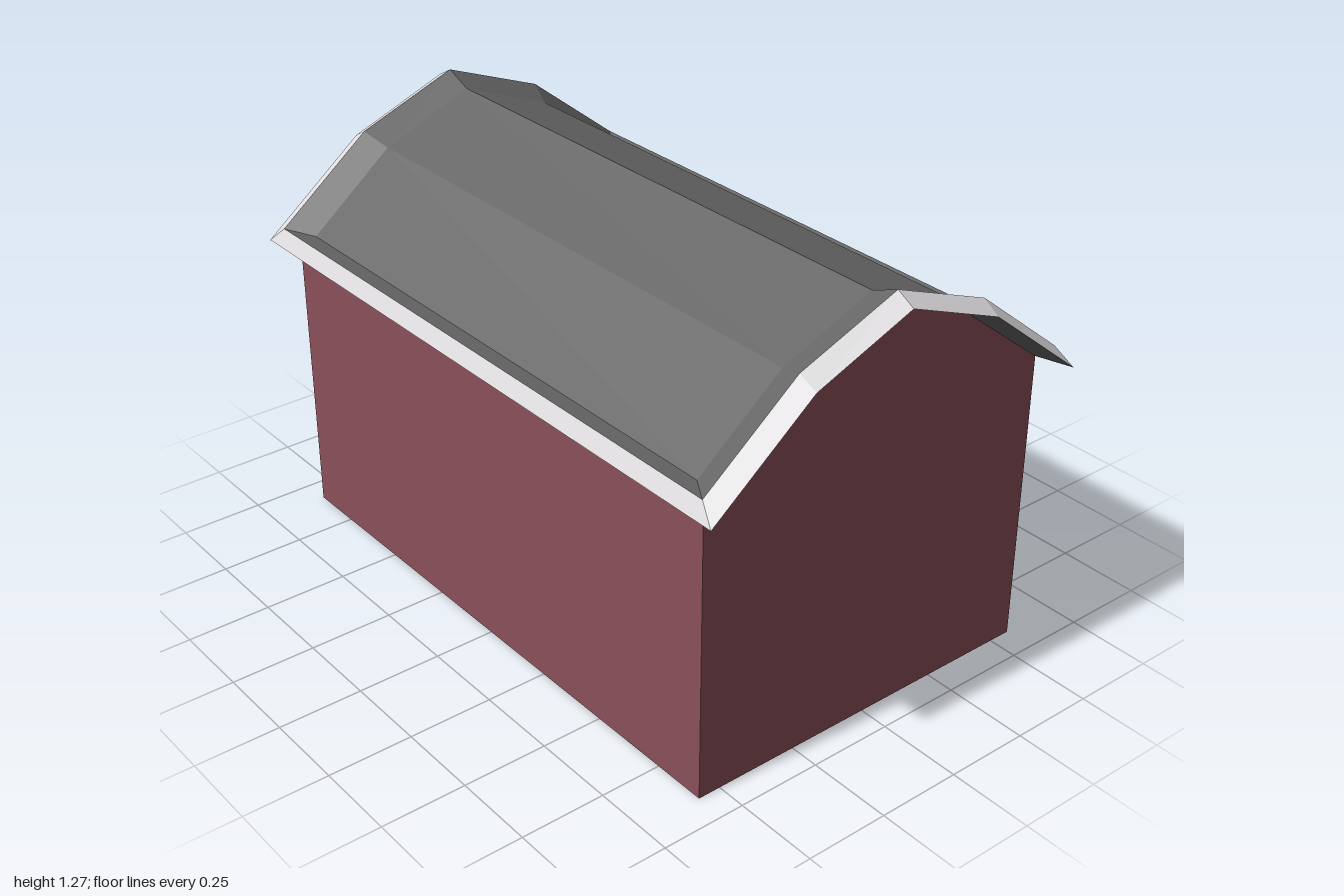
import * as THREE from 'three';

// Half profiles of the gambrel roof as [eave, knee, peak], each with its z end
const OUTER = { z: 1.0, pts: [[0.62, 0.87], [0.305, 1.12], [0, 1.24]] };
const CREST = { z: 0.945, pts: [[0.6, 0.92], [0.31, 1.15], [0, 1.27]] };
const INNER = { z: 0.86, pts: [[0.545, 0.91], [0.285, 1.12], [0, 1.235]] };
const WALL = { z: 0.912, pts: [[0.568, 0.885], [0.28, 1.108], [0, 1.23]] };

// Mirror a half profile into a full one, left to right
const fullProfile = ({ pts }) => [
  ...pts.map(([x, y]) => [-x, y]),
  ...pts.slice(0, 2).reverse(),
];

// Closed loop: across the front, then back across the rear
function loop(section) {
  const p = fullProfile(section);
  return [
    ...p.map(([x, y]) => [x, y, section.z]),
    ...p.slice().reverse().map(([x, y]) => [x, y, -section.z]),
  ];
}

function quadGeometry(quads) {
  const pos = [];
  for (const [a, b, c, d] of quads) pos.push(...a, ...b, ...c, ...a, ...c, ...d);
  const geo = new THREE.BufferGeometry();
  geo.setAttribute('position', new THREE.Float32BufferAttribute(pos, 3));
  geo.computeVertexNormals();
  return geo;
}

// Ring of faces between two loops
const band = (a, b) => a.map((p, i) => {
  const j = (i + 1) % a.length;
  return [p, a[j], b[j], b[i]];
});

// Sheet of faces spanning a loop from front to rear
const sheet = (l) => [0, 1, 2, 3].map((i) => [l[i], l[i + 1], l[8 - i], l[9 - i]]);
const flip = (quads) => quads.map((q) => q.slice().reverse());

export function createModel() {
  const model = new THREE.Group();
  model.name = 'barn';

  const material = (name, color) => {
    const m = new THREE.MeshStandardMaterial({ color });
    m.name = name;
    return m;
  };
  const wallRed = material('wall red', 0x8a5059);
  wallRed.side = THREE.DoubleSide;
  const roofGrey = material('roof grey', 0x686868);
  const trimWhite = material('trim white', 0xe2e0e2);
  const doorRed = material('door red', 0xb5343a);
  const windowDark = material('window dark', 0x352e2f);

  const add = (parent, name, geo, mat, x = 0, y = 0, z = 0) => {
    const mesh = new THREE.Mesh(geo, mat);
    mesh.name = name;
    mesh.position.set(x, y, z);
    parent.add(mesh);
    return mesh;
  };

  // Walls, open underneath
  const walls = new THREE.Group();
  walls.name = 'walls';
  model.add(walls);
  const [halfWidth, wallHeight] = WALL.pts[0];
  const gable = new THREE.ShapeGeometry(new THREE.Shape(
    [[-halfWidth, 0], [halfWidth, 0], ...fullProfile(WALL).reverse()]
      .map(([x, y]) => new THREE.Vector2(x, y)),
  ));
  const side = new THREE.PlaneGeometry(WALL.z * 2, wallHeight);
  for (const s of [1, -1]) {
    const end = add(walls, s > 0 ? 'frontWall' : 'backWall', gable, wallRed, 0, 0, s * WALL.z);
    if (s < 0) end.rotation.y = Math.PI;
    add(walls, s > 0 ? 'leftWall' : 'rightWall', side, wallRed, s * halfWidth, wallHeight / 2, 0)
      .rotation.y = s * Math.PI / 2;
  }

  // Roof: pale sloping rim, sunken grey top, grey underside
  const roof = new THREE.Group();
  roof.name = 'roof';
  model.add(roof);
  const [outer, crest, inner, under] = [OUTER, CREST, INNER, WALL].map(loop);
  add(roof, 'roofTrim', quadGeometry(band(outer, crest)), trimWhite);
  add(roof, 'roofTop', quadGeometry([...band(crest, inner), ...sheet(inner)]), roofGrey);
  add(roof, 'roofUnderside', quadGeometry([...band(under, outer), ...flip(sheet(under))]), roofGrey);

  // Framed openings on the back wall
  const opening = (name, w, bottom, top, depth, panelMat, hasSill) => {
    const group = new THREE.Group();
    group.name = name;
    group.position.z = -WALL.z;
    model.add(group);
    const t = 0.028;
    const h = top - bottom;
    const mid = (top + bottom) / 2;
    add(group, name + 'Panel', new THREE.BoxGeometry(w - t, h - t / 2, 0.006), panelMat, 0, mid - t / 4, -0.003);
    for (const s of [1, -1]) {
      add(group, name + 'Jamb', new THREE.BoxGeometry(t, h, depth), trimWhite, s * (w - t) / 2, mid, -depth / 2);
    }
    const rail = new THREE.BoxGeometry(w - 2 * t, t, depth);
    add(group, name + 'Lintel', rail, trimWhite, 0, top - t / 2, -depth / 2);
    if (hasSill) add(group, name + 'Sill', rail, trimWhite, 0, bottom + t / 2, -depth / 2);
  };
  opening('door', 0.42, 0, 0.6, 0.014, doorRed, false);
  opening('loftWindow', 0.26, 0.8, 1.06, 0.018, windowDark, true);

  return model;
}
